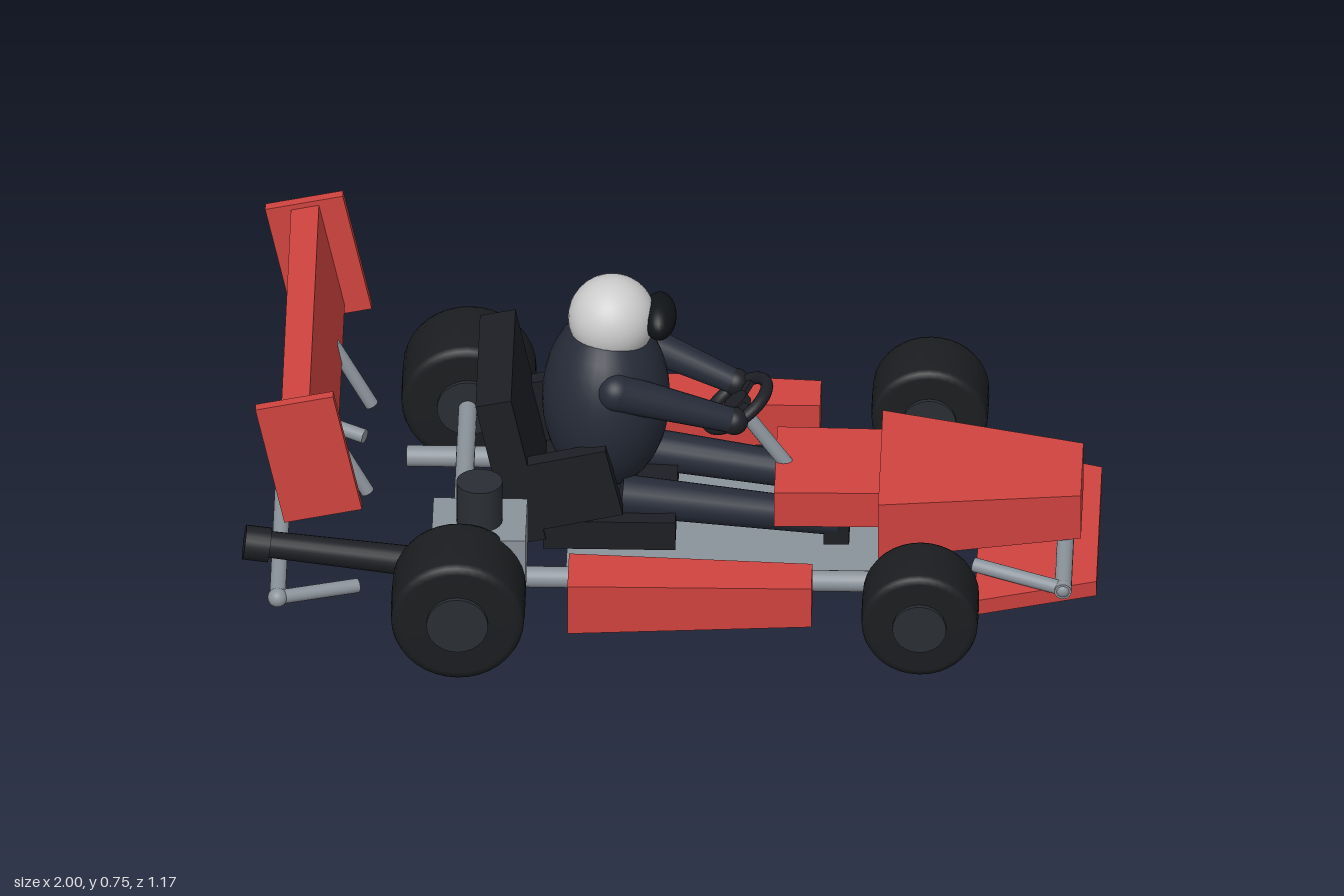
import * as THREE from 'three';

const mat = (color) => new THREE.MeshStandardMaterial({ color });
const RED = mat(0xd0433f), METAL = mat(0x8b939b), TYRE = mat(0x1b1d20), HUB = mat(0x2a2e34);
const SEAT = mat(0x1d1f24), SUIT = mat(0x262b38), HELMET = mat(0xd8d8d8), VISOR = mat(0x111417);
const V = (x, y, z) => new THREE.Vector3(x, y, z);

export function createModel() {
  const kart = new THREE.Group();
  kart.name = 'kart';

  const add = (name, geometry, material, x = 0, y = 0, z = 0) => {
    const m = new THREE.Mesh(geometry, material);
    m.name = name;
    m.position.set(x, y, z);
    kart.add(m);
    return m;
  };
  const box = (name, material, w, h, d, x, y, z, tilt = 0) => {
    const m = add(name, new THREE.BoxGeometry(w, h, d), material, x, y, z);
    m.rotation.z = tilt;
    return m;
  };
  const ball = (name, material, x, y, z, rx, ry = rx, rz = rx) => {
    const m = add(name, new THREE.SphereGeometry(1, 32, 20), material, x, y, z);
    m.scale.set(rx, ry, rz);
    return m;
  };
  // round bar from a to b
  const bar = (name, material, a, b, ra, rb = ra) => {
    const m = add(name, new THREE.CylinderGeometry(rb, ra, a.distanceTo(b), 20), material);
    m.position.copy(a).lerp(b, 0.5);
    m.quaternion.setFromUnitVectors(V(0, 1, 0), b.clone().sub(a).normalize());
    return m;
  };
  // block between two end rectangles [x, yMin, yMax, zMin, zMax]
  const taper = (name, material, rear, front) => {
    const g = new THREE.BoxGeometry(1, 1, 1), p = g.attributes.position;
    for (let i = 0; i < p.count; i++) {
      const e = p.getX(i) < 0 ? rear : front;
      p.setXYZ(i, e[0], p.getY(i) < 0 ? e[1] : e[2], p.getZ(i) < 0 ? e[3] : e[4]);
    }
    g.computeVertexNormals();
    return add(name, g, material);
  };

  // chassis
  box('floorPan', METAL, 0.9, 0.02, 0.5, 0.205, 0.078, 0);
  bar('rearAxle', METAL, V(-0.49, 0.157, -0.4), V(-0.49, 0.157, 0.4), 0.022);

  // wheels: rounded tyre with a hub showing on both faces
  const wheel = (name, x, z, r, w) => {
    const h = w / 2;
    const profile = [[0, -h], [r * 0.86, -h], [r * 0.96, -h * 0.96], [r * 0.99, -h * 0.82], [r, -h * 0.4],
      [r, h * 0.4], [r * 0.99, h * 0.82], [r * 0.96, h * 0.96], [r * 0.86, h], [0, h]]
      .map(([a, b]) => new THREE.Vector2(a, b));
    add(name + 'Tyre', new THREE.LatheGeometry(profile, 36), TYRE, x, r, z).rotation.x = Math.PI / 2;
    add(name + 'Hub', new THREE.CylinderGeometry(r * 0.46, r * 0.46, w + 0.02, 24), HUB, x, r, z).rotation.x = Math.PI / 2;
  };

  for (const s of [1, -1]) {
    const side = s > 0 ? 'left' : 'right';
    wheel(side + 'RearWheel', -0.49, s * 0.474, 0.157, 0.205);
    wheel(side + 'FrontWheel', 0.59, s * 0.449, 0.137, 0.168);
    bar(side + 'FrameRail', METAL, V(-0.63, 0.09, s * 0.26), V(0.655, 0.09, s * 0.26), 0.025);

    // side pod, narrowing to the front
    const inner = [0.33, 0.345], outer = [0.475, 0.455];
    const ends = [0, 1].map((i) => [s * inner[i], s * outer[i]].sort((a, b) => a - b));
    taper(side + 'SidePod', RED, [-0.235, 0.07, 0.2, ...ends[0]], [0.335, 0.085, 0.19, ...ends[1]]);

    // bumper stays and rounded corners
    bar(side + 'FrontBumperStay', METAL, V(0.71, 0.115, s * 0.22), V(0.92, 0.1, s * 0.295), 0.017);
    ball(side + 'FrontBumperCorner', METAL, 0.92, 0.1, s * 0.295, 0.021);
    bar(side + 'RearBumperStay', METAL, V(-0.73, 0.1, s * 0.325), V(-0.915, 0.118, s * 0.41), 0.017);
    ball(side + 'RearBumperCorner', METAL, -0.915, 0.118, s * 0.41, 0.023);

    // wing end plate and strut
    box(side + 'WingEndPlate', RED, 0.186, 0.318, 0.025, -0.841, 0.526, s * 0.4375, 0.215);
    bar(side + 'WingStrut', METAL, V(-0.71, 0.275, s * 0.19), V(-0.8, 0.44, s * 0.19), 0.016);

    // seat bolster
    box(side + 'SeatBolster', SEAT, 0.24, 0.18, 0.04, -0.25, 0.287, s * 0.18, 0.23);

    // driver limbs
    bar(side + 'Arm', SUIT, V(-0.13, 0.525, s * 0.135), V(0.14, 0.42, s * 0.085), 0.046, 0.03);
    ball(side + 'Shoulder', SUIT, -0.13, 0.525, s * 0.135, 0.046);
    ball(side + 'Glove', SEAT, 0.145, 0.418, s * 0.085, 0.033);
    bar(side + 'Leg', SUIT, V(-0.12, 0.225, s * 0.11), V(0.39, 0.155, s * 0.09), 0.05, 0.04);
    box(side + 'Shoe', SEAT, 0.06, 0.09, 0.07, 0.385, 0.15, s * 0.09);
  }

  // bumpers
  bar('frontBumper', METAL, V(0.92, 0.1, -0.31), V(0.92, 0.1, 0.31), 0.02);
  bar('rearBumper', METAL, V(-0.915, 0.118, -0.41), V(-0.915, 0.118, 0.41), 0.019);

  // nose bodywork
  taper('noseCone', RED, [0.485, 0.12, 0.268, -0.207, 0.207], [0.957, 0.125, 0.243, -0.115, 0.115]);
  taper('dashCowl', RED, [0.24, 0.165, 0.258, -0.145, 0.145], [0.5, 0.165, 0.258, -0.14, 0.14]);
  taper('frontSplitter', RED, [0.715, 0.053, 0.092, -0.342, 0.342], [0.997, 0.053, 0.092, -0.25, 0.25]);

  // rear wing
  box('rearWing', RED, 0.067, 0.283, 0.86, -0.8425, 0.53, 0, 0.215);

  // seat
  box('seatBack', SEAT, 0.085, 0.39, 0.4, -0.375, 0.338, 0, 0.21);
  box('seatBase', SEAT, 0.31, 0.075, 0.39, -0.145, 0.165, 0);

  // engine and exhaust
  box('engineBlock', METAL, 0.22, 0.16, 0.185, -0.445, 0.2, 0.3125);
  add('engineCylinder', new THREE.CylinderGeometry(0.054, 0.054, 0.11, 24), HUB, -0.445, 0.332, 0.315);
  bar('exhaustPipe', SEAT, V(-0.5, 0.17, 0.345), V(-0.96, 0.236, 0.36), 0.037, 0.031);
  bar('exhaustTip', SEAT, V(-0.935, 0.231, 0.36), V(-0.994, 0.239, 0.361), 0.041);

  // driver
  ball('torso', SUIT, -0.157, 0.43, 0, 0.15, 0.225, 0.178);
  ball('helmet', HELMET, -0.143, 0.647, 0, 0.103);
  ball('visor', VISOR, -0.032, 0.652, 0, 0.04, 0.047, 0.078);

  // steering: rim, hub, spokes and column
  const steering = new THREE.Group();
  steering.name = 'steeringWheel';
  const part = (name, g) => {
    const m = new THREE.Mesh(g, SEAT);
    m.name = name;
    steering.add(m);
    return m;
  };
  part('rim', new THREE.TorusGeometry(0.084, 0.015, 12, 40)).rotation.x = Math.PI / 2;
  part('steeringHub', new THREE.CylinderGeometry(0.032, 0.032, 0.022, 20));
  for (let i = 0; i < 3; i++) {
    const a = (i * Math.PI * 2) / 3 + Math.PI;
    const spoke = part('spoke', new THREE.BoxGeometry(0.08, 0.012, 0.018));
    spoke.position.set(Math.cos(a) * 0.045, 0, -Math.sin(a) * 0.045);
    spoke.rotation.y = a;
  }
  steering.position.set(0.15, 0.413, 0);
  steering.rotation.z = 0.6;
  kart.add(steering);
  bar('steeringColumn', METAL, V(0.155, 0.405, 0), V(0.285, 0.22, 0), 0.017);

  return kart;
}
